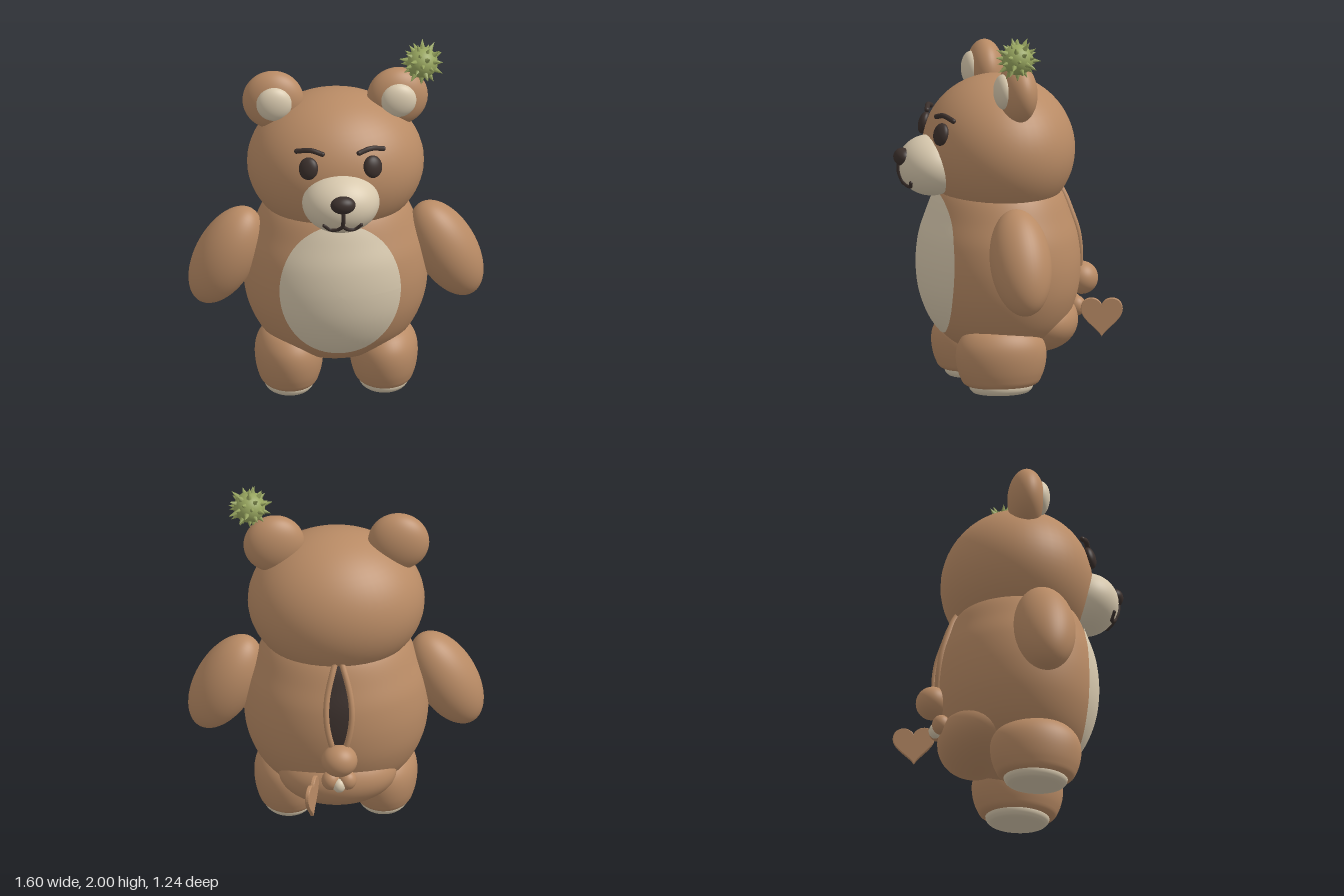
import * as THREE from 'three';

const mat = (name, color) => {
  const m = new THREE.MeshStandardMaterial({ color });
  m.name = name;
  return m;
};

export function createModel() {
  const root = new THREE.Group();
  root.name = 'teddyBear';
  const brown = mat('brown fur', 0xb98b65);
  const cream = mat('cream', 0xd8c9ae);
  const dark = mat('dark brown', 0x3b302c);
  const green = mat('burr green', 0x97a55f);

  const add = (name, geo, material, parent = root) => {
    const mesh = new THREE.Mesh(geo, material);
    mesh.name = name;
    parent.add(mesh);
    return mesh;
  };
  const ball = (name, material, pos, radii, rot = [0, 0, 0]) => {
    const m = add(name, new THREE.SphereGeometry(1, 48, 32), material);
    m.position.set(...pos);
    m.scale.set(...radii);
    m.rotation.set(...rot);
    return m;
  };
  const smooth = (pts, n) =>
    new THREE.SplineCurve(pts.map(p => new THREE.Vector2(...p))).getPoints(n)
      .map(p => new THREE.Vector2(Math.max(p.x, 0), p.y));
  const tube = (name, material, pts, r) => {
    const curve = new THREE.CatmullRomCurve3(pts.map(p => new THREE.Vector3(...p)));
    add(name, new THREE.TubeGeometry(curve, 32, r, 10), material);
    for (const p of [pts[0], pts[pts.length - 1]]) ball(name + 'End', material, p, [r, r, r]);
  };
  // Moves every vertex of a geometry by a rule
  const warp = (geo, rule) => {
    const p = geo.attributes.position;
    for (let i = 0; i < p.count; i++) p.setXYZ(i, ...rule(p.getX(i), p.getY(i), p.getZ(i)));
    geo.computeVertexNormals();
    return geo;
  };

  // Body: oval lathe
  const bodyZ = 0.03, depth = 0.88;
  const profile = smooth([[0, 0.18], [0.13, 0.19], [0.28, 0.245], [0.4, 0.35], [0.475, 0.5],
    [0.5, 0.66], [0.485, 0.82], [0.44, 0.95], [0.385, 1.07], [0.3, 1.17]], 72);
  const body = add('body', new THREE.LatheGeometry(profile, 96), brown);
  body.scale.z = depth;
  body.position.z = bodyZ;
  const radiusAt = y => {
    const i = Math.max(1, profile.findIndex(p => p.y >= y));
    const a = profile[i - 1], b = profile[i];
    return a.x + (b.x - a.x) * (y - a.y) / (b.y - a.y);
  };
  const surfaceZ = (x, y, side) =>
    bodyZ + side * (depth * Math.sqrt(Math.max(0, radiusAt(y) ** 2 - x * x)) + 0.006);

  // Belly patch following the body
  add('bellyPatch', warp(new THREE.RingGeometry(0.001, 1, 72, 16), (u, v) => {
    const x = 0.33 * u, y = 0.69 + 0.385 * v;
    return [x, y, surfaceZ(x, y, 1)];
  }), cream);
  ball('rump', brown, [0, 0.36, -0.18], [0.32, 0.18, 0.22]);

  // Head and muzzle
  ball('head', brown, [0, 1.31, 0.03], [0.48, 0.4, 0.41]);
  ball('muzzle', cream, [0, 1.23, 0.41], [0.21, 0.165, 0.18]);
  ball('nose', dark, [0, 1.282, 0.568], [0.068, 0.049, 0.05]);
  const onMuzzle = (x, y) =>
    [x, y, 0.413 + 0.18 * Math.sqrt(1 - (x / 0.21) ** 2 - ((y - 1.23) / 0.165) ** 2)];
  tube('mouthLine', dark, [onMuzzle(0, 1.25), onMuzzle(0, 1.2), onMuzzle(0, 1.155)], 0.011);

  // Paired parts
  const leg = smooth([[0, 0.035], [0.13, 0.045], [0.168, 0.1], [0.185, 0.2], [0.174, 0.285],
    [0.13, 0.35], [0.06, 0.373], [0, 0.376]], 40);
  const sole = smooth([[0, 0], [0.1, 0.004], [0.128, 0.02], [0.136, 0.045], [0.13, 0.065]], 20);
  for (const [side, s] of [['left', 1], ['right', -1]]) {
    ball(side + 'Arm', brown, [s * 0.6, 0.785, 0.067], [0.165, 0.3, 0.167], [0, 0, s * 0.48]);
    ball(side + 'Ear', brown, [s * 0.338, 1.672, 0.015], [0.166, 0.166, 0.1], [0, s * 0.08, 0]);
    ball(side + 'InnerEar', cream, [s * 0.338, 1.68, 0.09], [0.097, 0.097, 0.055]);
    ball(side + 'Eye', dark, [s * 0.175, 1.43, 0.4], [0.054, 0.062, 0.032], [-0.28, s * 0.38, s * 0.15]);
    tube(side + 'Brow', dark, [[s * 0.1, 1.515, 0.405], [s * 0.165, 1.53, 0.382],
      [s * 0.235, 1.512, 0.347]], 0.014);
    tube(side + 'MouthCurve', dark, [onMuzzle(0, 1.157), onMuzzle(s * 0.03, 1.133),
      onMuzzle(s * 0.065, 1.128), onMuzzle(s * 0.1, 1.155)], 0.011);
    for (const [name, pts, material, zs] of [['Leg', leg, brown, 1.35], ['Sole', sole, cream, 1.29]]) {
      const m = add(side + name, new THREE.LatheGeometry(pts, 56), material);
      m.position.set(s * 0.257, 0, 0.085);
      m.scale.z = zs;
    }
    // Raised lip along the back opening
    const lip = [];
    for (let i = 0; i <= 12; i++) {
      const t = i / 12, y = 0.58 + 0.51 * t, x = s * (0.02 + 0.05 * Math.sin(Math.PI * t));
      lip.push([x, y, surfaceZ(x, y, -1)]);
    }
    tube(side + 'OpeningLip', brown, lip, 0.017);
    ball(side + 'TailKnot', brown, [s * 0.045, 0.42, -0.395], [0.05, 0.055, 0.05]);
  }

  // Dark opening in the back
  add('backOpening', warp(new THREE.PlaneGeometry(2, 1, 8, 32), (u, v) => {
    const t = v + 0.5, y = 0.58 + 0.51 * t;
    const x = -u * (0.015 + 0.05 * Math.sin(Math.PI * t));
    return [x, y, surfaceZ(x, y, -1)];
  }), dark);

  // Tail and charm
  ball('tail', brown, [0, 0.565, -0.435], [0.098, 0.09, 0.09]);
  ball('charmBead', cream, [0, 0.4, -0.42], [0.035, 0.04, 0.035]);
  const heart = new THREE.Shape();
  heart.moveTo(0, -0.1);
  heart.bezierCurveTo(0.02, -0.06, 0.11, -0.01, 0.11, 0.045);
  heart.bezierCurveTo(0.11, 0.12, 0.015, 0.12, 0, 0.06);
  heart.bezierCurveTo(-0.015, 0.12, -0.11, 0.12, -0.11, 0.045);
  heart.bezierCurveTo(-0.11, -0.01, -0.02, -0.06, 0, -0.1);
  const charm = add('heartCharm', new THREE.ExtrudeGeometry(heart,
    { depth: 0.012, bevelEnabled: true, bevelThickness: 0.005, bevelSize: 0.004, bevelSegments: 2, curveSegments: 16 }), brown);
  charm.position.set(0.145, 0.37, -0.51);
  charm.rotation.y = Math.PI / 2 - 0.28;

  // Spiky burr on the left ear
  const burr = new THREE.Group();
  burr.name = 'burr';
  burr.position.set(0.47, 1.882, 0.05);
  root.add(burr);
  add('burrCore', new THREE.SphereGeometry(0.085, 28, 20), green, burr);
  const spike = new THREE.ConeGeometry(0.017, 0.05, 6);
  spike.translate(0, 0.1, 0);
  const up = new THREE.Vector3(0, 1, 0), count = 44;
  for (let i = 0; i < count; i++) {
    const y = 1 - 2 * i / (count - 1), r = Math.sqrt(Math.max(0, 1 - y * y)), a = i * 2.39996;
    const m = add('burrSpike', spike, green, burr);
    m.quaternion.setFromUnitVectors(up, new THREE.Vector3(r * Math.cos(a), y, r * Math.sin(a)));
    m.scale.y = i === 0 ? 0.944 : 0.92 + 0.06 * (i % 3);
  }
  return root;
}
